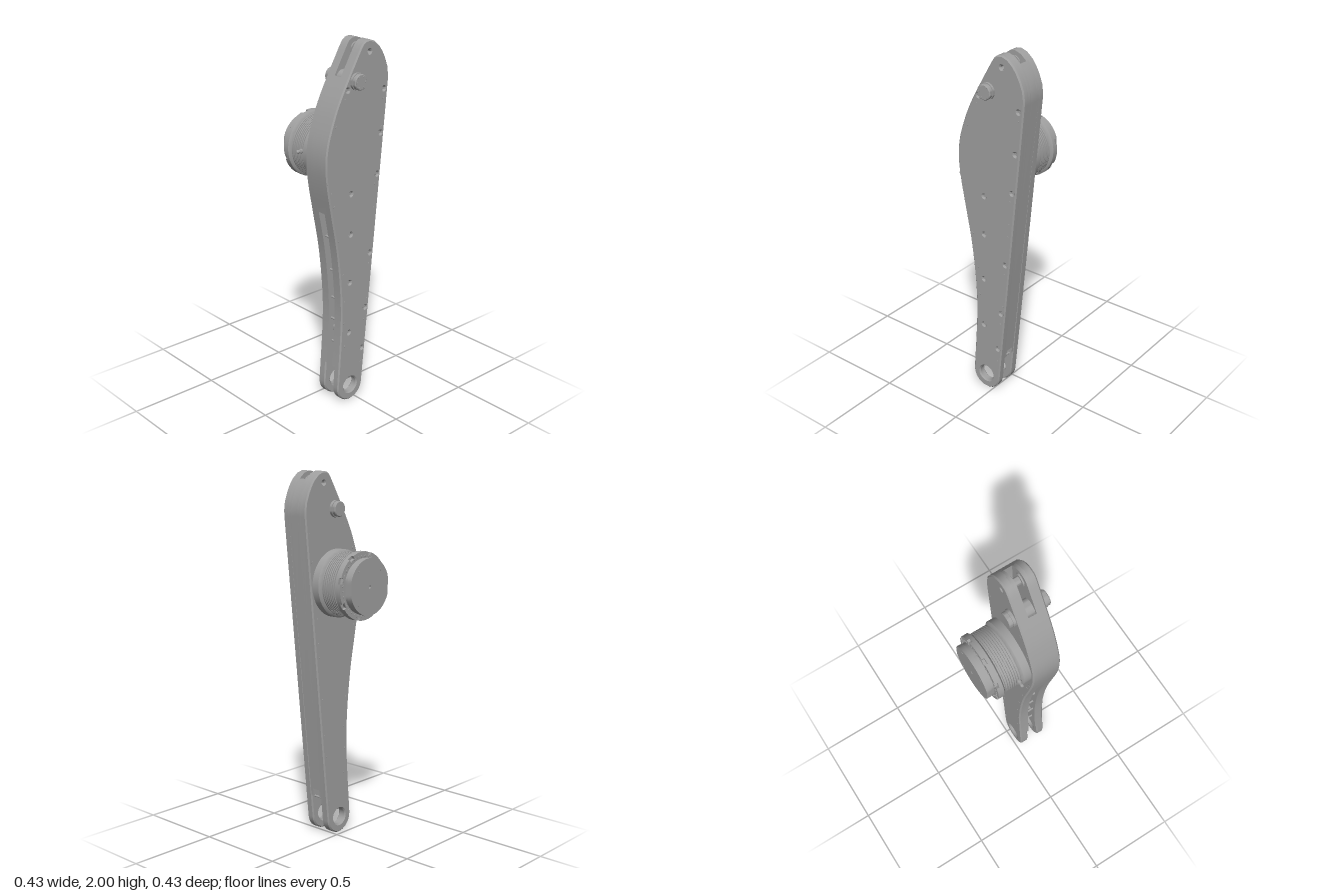
import * as THREE from 'three';
import { toCreasedNormals } from 'three/addons/utils/BufferGeometryUtils.js';

export function createModel() {
  const group = new THREE.Group();
  const metal = new THREE.MeshStandardMaterial({ color: 0xa0a0a0 });
  metal.name = 'grey metal';
  const V = (x, y) => new THREE.Vector2(x, y);

  function add(name, geo, x = 0, y = 0, z = 0, crease = 0.6) {
    const mesh = new THREE.Mesh(toCreasedNormals(geo, crease), metal);
    mesh.name = name;
    mesh.position.set(x, y, z);
    group.add(mesh);
    return mesh;
  }
  // Extrudes a point list from z0 to z1; holes are [x, y, radius]
  function slab(name, pts, z0, z1, holes = [], bevel = 0) {
    const shape = new THREE.Shape(pts);
    for (const [x, y, r] of holes) {
      const path = new THREE.Path();
      path.absarc(x, y, r, 0, Math.PI * 2, true);
      shape.holes.push(path);
    }
    const geo = new THREE.ExtrudeGeometry(shape, {
      depth: z1 - z0 - 2 * bevel, curveSegments: 12, bevelEnabled: bevel > 0,
      bevelThickness: bevel, bevelSize: bevel, bevelOffset: -bevel, bevelSegments: 1,
    });
    return add(name, geo, 0, 0, z0 + bevel);
  }
  // Turned part along z; profile is [radius, z] listed towards -z
  function turned(name, profile, x, y, segments = 64) {
    const geo = new THREE.LatheGeometry(profile.map(([r, z]) => V(r, -z)), segments);
    return add(name, geo.rotateX(-Math.PI / 2), x, y);
  }
  const disc = (name, x, y, z0, z1, r, n = 16) =>
    turned(name, [[0, z1], [r, z1], [r, z0], [0, z0]], x, y, n);

  // Arm outline, counter-clockwise from the lower right
  const edgeX = (y) => 0.045 + 0.0994 * (y - 0.1);
  const right = [V(0.213, 1.77), V(0.214, 1.8), V(0.208, 1.845), V(0.19, 1.893), V(0.17, 1.93), V(0.148, 1.96)];
  const tip = [V(0.115, 1.988), V(0.08, 2), V(0.05, 1.996), V(0.03, 1.982)];
  const left = new THREE.SplineCurve([
    V(0.012, 1.955), V(-0.058, 1.835), V(-0.125, 1.713), V(-0.167, 1.615), V(-0.203, 1.5), V(-0.214, 1.395),
    V(-0.203, 1.275), V(-0.177, 1.13), V(-0.135, 0.9), V(-0.11, 0.65), V(-0.109, 0.44), V(-0.133, 0.1),
  ]).getPoints(50);
  const foot = [];
  for (let i = 1; i <= 18; i++) {
    const a = Math.PI * (1 + 0.98 * i / 18);
    foot.push(V(-0.043 + 0.09 * Math.cos(a), 0.095 + 0.092 * Math.sin(a)));
  }
  const outline = [...right, ...tip, ...left, ...foot];

  // Side plates with countersunk holes, and liners above the foot slot
  const screws = [
    [-0.07, 1.765], [0.18, 1.735], [-0.165, 1.55], [0.16, 1.505], [-0.188, 1.305], [0.14, 1.285], [-0.043, 1.215],
    [-0.045, 0.99], [0.095, 0.85], [-0.05, 0.715], [0.065, 0.535], [-0.055, 0.42], [0.042, 0.295],
  ];
  const through = [[-0.043, 0.095, 0.046], [0.077, 1.94, 0.01]];
  slab('frontPlate', outline, 0.135, 0.18, [...through, ...screws.map(([x, y]) => [x, y, 0.01])], 0.007);
  slab('backPlate', outline, 0.02, 0.07, through, 0.007);
  const upper = [V(edgeX(0.22), 0.22), ...right, ...tip, ...left.filter((p) => p.y > 0.22), V(-0.124, 0.22)];
  slab('frontLiner', upper, 0.123, 0.145, [through[1]]);
  slab('backLiner', upper, 0.058, 0.077, [through[1]]);

  // Core: straight edge wall, floor of the head slot, curved edge wall
  slab('core', [
    V(edgeX(0.26), 0.26), ...right, V(0.145, 1.85), V(0.09, 1.72), V(-0.06, 1.72),
    ...left.filter((p) => p.y < 1.83 && p.y > 1.08),
    V(-0.13, 1.1), V(0.06, 1.16), V(edgeX(1.1) - 0.04, 1.1), V(edgeX(0.26) - 0.035, 0.26),
  ], 0.062, 0.14);

  // Screws and spacers across the open channel
  screws.forEach(([x, y], i) => {
    disc('screw', x, y, 0.14, 0.17, 0.0095, 6);
    if ([7, 9, 11].includes(i)) disc('spacer', x, y, 0.07, 0.13, 0.022, 24);
  });

  // Small rivets along both plates
  const rivets = [
    [-0.087, 1.72], [-0.147, 1.59], [-0.177, 1.245], [-0.16, 1.17], [-0.125, 0.975], [-0.095, 0.775],
    [-0.083, 0.61], [-0.087, 0.485], [-0.083, 0.345], [0.178, 1.685], [0.167, 1.535], [0.125, 1.235],
    [0.12, 1.1], [0.113, 1.025], [0.09, 0.79], [0.077, 0.585], [0.06, 0.465], [0.035, 0.21],
  ];
  for (const [x, y] of rivets) disc('rivet', x, y, 0.0185, 0.1815, 0.006, 8);

  // Bushing in the head slot
  turned('bushing', [
    [0.009, 0.123], [0.036, 0.123], [0.036, 0.115], [0.022, 0.115], [0.022, 0.085],
    [0.036, 0.085], [0.036, 0.077], [0.009, 0.077], [0.009, 0.123],
  ], 0.077, 1.94, 32);

  // Pivot pin
  turned('pivotPin', [
    [0, 0.214], [0.037, 0.214], [0.041, 0.21], [0.041, 0.193], [0.045, 0.193],
    [0.045, 0.005], [0.041, 0.005], [0.041, -0.011], [0.037, -0.015], [0, -0.015],
  ], -0.01, 1.803, 32);
  for (let i = 0; i < 6; i++) {
    const a = i * Math.PI / 3;
    disc('pinBolt', -0.01 + 0.029 * Math.cos(a), 1.803 + 0.029 * Math.sin(a), 0.21, 0.216, 0.005, 8);
  }

  // Finned drum on the back
  const cx = -0.016, cy = 1.413;
  const profile = [[0, 0.022], [0.181, 0.022], [0.181, -0.021], [0.17, -0.031]];
  for (let i = 0; i < 7; i++) {
    const z = -0.033 - i * 0.0125;
    profile.push([0.161, z], [0.161, z - 0.005], [0.17, z - 0.005], [0.17, z - 0.0125]);
  }
  profile.push([0.163, -0.121], [0.163, -0.128], [0.171, -0.13], [0.181, -0.138], [0.181, -0.157], [0, -0.157]);
  turned('drum', profile, cx, cy, 72);

  // Notched rim and its ring of bolts
  const rim = [];
  for (let i = 0; i < 8; i++) {
    const a0 = Math.PI / 2 + (14 + 45 * i) * Math.PI / 180;
    const polar = (r, a) => rim.push(V(cx + r * Math.cos(a), cy + r * Math.sin(a)));
    polar(0.165, a0 - 0.09);
    polar(0.165, a0 + 0.09);
    for (let k = 0; k <= 8; k++) polar(0.181, a0 + 0.09 + (Math.PI / 4 - 0.18) * k / 8);
  }
  slab('drumRim', rim, -0.172, -0.156);
  for (let i = 0; i < 36; i++) {
    const a = (i + 0.5) * Math.PI / 18;
    disc('rimBolt', cx + 0.158 * Math.cos(a), cy + 0.158 * Math.sin(a), -0.175, -0.165, 0.006, 8);
  }

  // End cap with flattened sides
  const capShape = (r, flat) => Array.from({ length: 72 }, (_, i) => {
    const a = i * Math.PI / 36;
    return V(cx + THREE.MathUtils.clamp(r * Math.cos(a), -flat, flat), cy + r * Math.sin(a));
  });
  slab('capBase', capShape(0.147, 0.139), -0.191, -0.17);
  slab('cap', capShape(0.15, 0.143), -0.217, -0.19, [[cx, cy, 0.009]]);
  for (let i = 0; i < 4; i++) {
    const a = Math.PI / 4 + i * Math.PI / 2;
    disc('capBolt', cx + 0.12 * Math.cos(a), cy + 0.12 * Math.sin(a), -0.2185, -0.21, 0.006, 8);
  }

  // Grease nipple on the drum side
  const nipple = new THREE.LatheGeometry(
    [[0.012, 0], [0.012, 0.022], [0.007, 0.024], [0.01, 0.036], [0.007, 0.046], [0, 0.046]].map(([r, h]) => V(r, h)), 16);
  add('nipple', nipple.rotateZ(Math.PI / 2), -0.173, 1.425, -0.045);

  return group;
}
